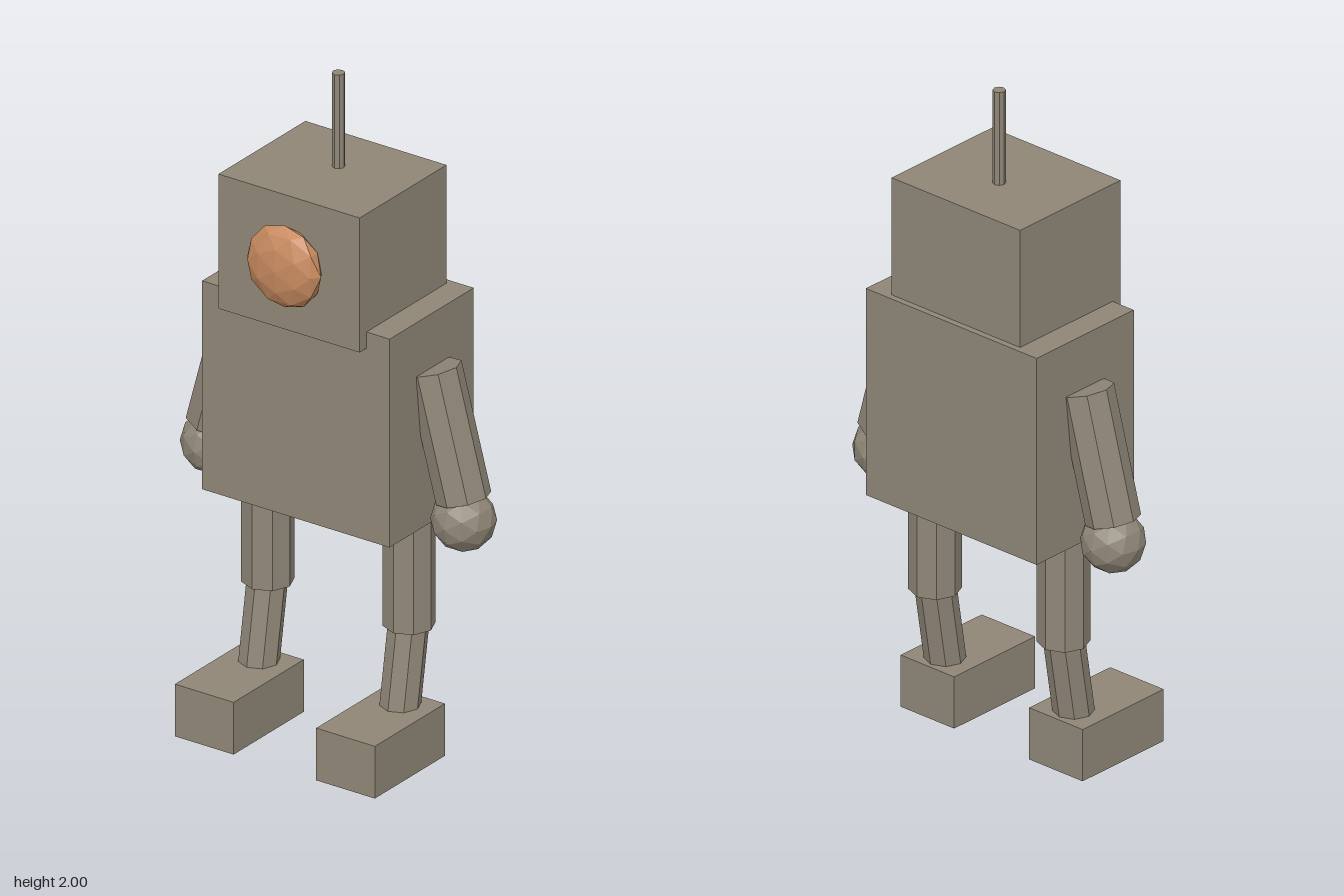
import * as THREE from 'three';

export function createModel() {
  const robot = new THREE.Group();
  robot.name = 'robot';

  const metal = new THREE.MeshStandardMaterial({ color: 0x8f8677 });
  metal.name = 'warm grey metal';
  const copper = new THREE.MeshStandardMaterial({ color: 0xc78a5f });
  copper.name = 'copper';

  const axisZ = -0.055; // limbs and antenna share this depth

  function add(name, geometry, material, x, y, z) {
    // split vertices so every facet stays flat
    const flat = geometry.index ? geometry.toNonIndexed() : geometry;
    flat.computeVertexNormals();
    const mesh = new THREE.Mesh(flat, material);
    mesh.name = name;
    mesh.position.set(x, y, z);
    robot.add(mesh);
    return mesh;
  }

  // box from its lower and upper corners
  function box(name, [x0, y0, z0], [x1, y1, z1]) {
    return add(name, new THREE.BoxGeometry(x1 - x0, y1 - y0, z1 - z0), metal,
      (x0 + x1) / 2, (y0 + y1) / 2, (z0 + z1) / 2);
  }

  // eight-sided rod between two points
  function rod(name, radius, from, to) {
    const a = new THREE.Vector3(...from);
    const b = new THREE.Vector3(...to);
    const dir = b.clone().sub(a);
    const mid = a.clone().add(b).multiplyScalar(0.5);
    const mesh = add(name, new THREE.CylinderGeometry(radius, radius, dir.length(), 8),
      metal, mid.x, mid.y, mid.z);
    mesh.quaternion.setFromUnitVectors(new THREE.Vector3(0, 1, 0), dir.normalize());
    return mesh;
  }

  // torso, head and antenna
  box('torso', [-0.316, 0.72, -0.251], [0.316, 1.355, 0.146]);
  box('head', [-0.238, 1.305, -0.232], [0.238, 1.715, 0.178]);
  rod('antenna', 0.0185, [0, 1.68, axisZ], [0, 2, axisZ]);

  // single flattened faceted eye
  const eye = new THREE.IcosahedronGeometry(0.124, 1).scale(1, 1, 0.41);
  add('eye', eye, copper, 0, 1.51, 0.2);

  // mirrored arms and legs
  for (const [side, s] of [['left', 1], ['right', -1]]) {
    rod(`${side}Arm`, 0.078, [s * 0.422, 0.821, axisZ], [s * 0.322, 1.192, axisZ]);
    add(`${side}Hand`, new THREE.IcosahedronGeometry(0.092, 1), metal, s * 0.422, 0.758, axisZ);
    rod(`${side}UpperLeg`, 0.074, [s * 0.238, 0.387, axisZ], [s * 0.238, 0.74, axisZ]);
    rod(`${side}LowerLeg`, 0.058, [s * 0.238, 0.13, -0.009], [s * 0.238, 0.387, -0.052]);
    box(`${side}Foot`, [s * 0.238 - 0.099, 0, -0.086], [s * 0.238 + 0.099, 0.159, 0.245]);
  }

  return robot;
}
